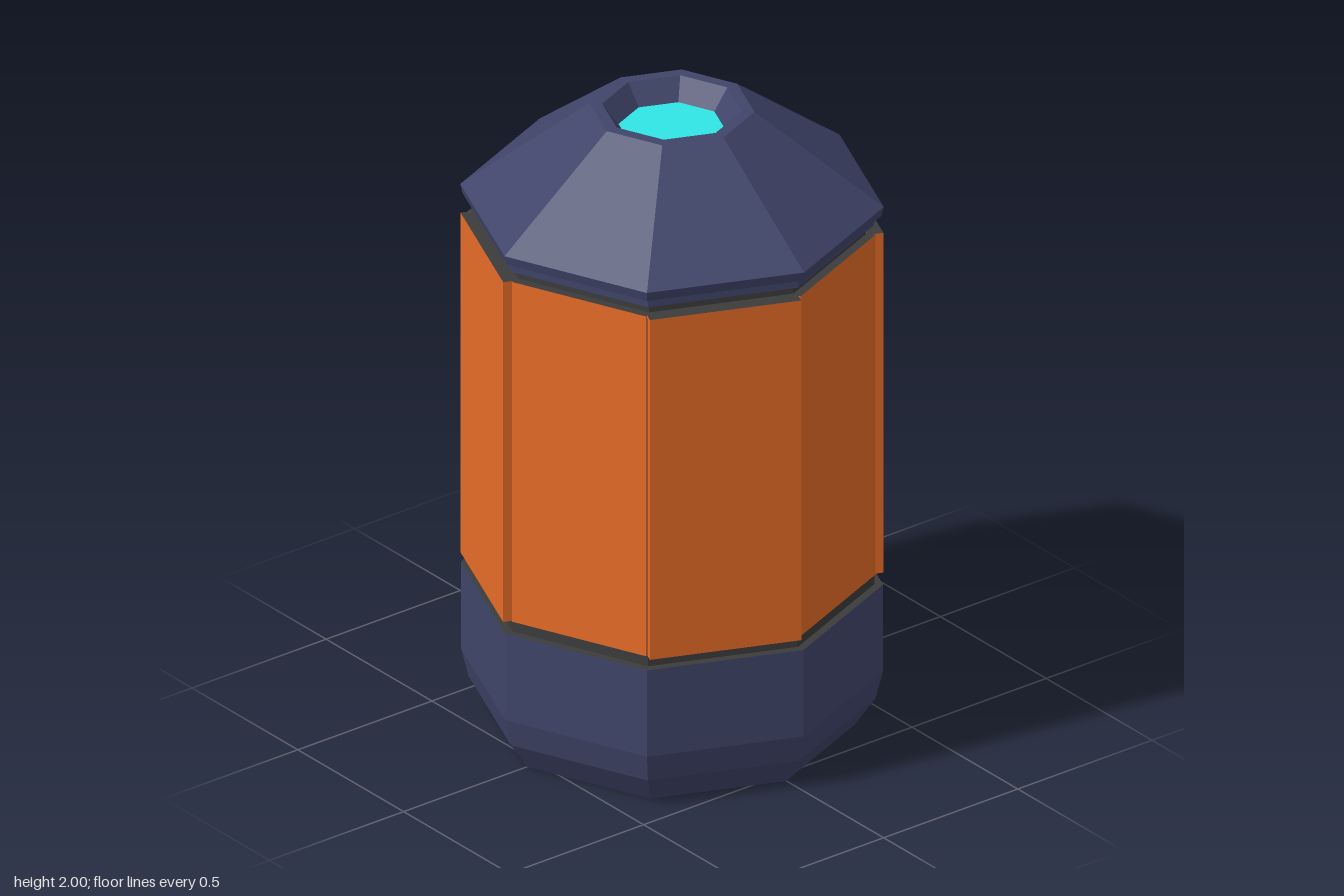
import * as THREE from 'three';

const navy = new THREE.MeshStandardMaterial({ color: 0x40456a });
navy.name = 'navy casing';
const orange = new THREE.MeshStandardMaterial({ color: 0xe66c28 });
orange.name = 'orange panel';
const charcoal = new THREE.MeshStandardMaterial({ color: 0x3c3c3c });
charcoal.name = 'charcoal core';
const grey = new THREE.MeshStandardMaterial({ color: 0x8e8a9a });
grey.name = 'grey underside';
const cyan = new THREE.MeshStandardMaterial({ color: 0x31e6e6 });
cyan.name = 'cyan light';

const SIDES = 8;

// Faceted octagonal solid from a [radius, height] profile, corners on the axes
function octagon(name, profile, material) {
  const points = profile.map(([r, y]) => new THREE.Vector2(r, y));
  const geometry = new THREE.LatheGeometry(points, SIDES).toNonIndexed();
  geometry.computeVertexNormals();
  const mesh = new THREE.Mesh(geometry, material);
  mesh.name = name;
  return mesh;
}

export function createModel() {
  const model = new THREE.Group();
  model.name = 'canister';

  // Base with a rounded lower edge, its underside and its dark upper ledge
  model.add(octagon('base', [[0.54, 0], [0.6, 0.09], [0.622, 0.18], [0.622, 0.465]], navy));
  model.add(octagon('underside', [[0, 0], [0.54, 0]], grey));
  model.add(octagon('baseLedge', [[0.622, 0.465], [0.55, 0.465]], charcoal));

  // Inner core, seen in the grooves and between panels
  model.add(octagon('core', [[0.596, 0.46], [0.596, 1.61], [0.572, 1.61], [0.572, 1.69]], charcoal));

  // Side panels, alternately raised and inset, with dark upper and lower ends
  const panels = new THREE.Group();
  panels.name = 'sidePanels';
  const faces = [orange, orange, charcoal, charcoal, orange, orange];
  const bottom = 0.5, top = 1.62, inner = 0.53;
  for (let i = 0; i < SIDES; i++) {
    const raised = i % 2 === 0;
    const outer = raised ? 0.578 : 0.557;
    const width = raised ? 0.46 : 0.448;
    const geometry = new THREE.BoxGeometry(outer - inner, top - bottom, width);
    geometry.translate((outer + inner) / 2, (top + bottom) / 2, 0);
    const panel = new THREE.Mesh(geometry, faces);
    panel.name = raised ? 'raisedPanel' : 'insetPanel';
    panel.rotation.y = -(i + 0.5) * Math.PI * 2 / SIDES;
    panels.add(panel);
  }
  model.add(panels);

  // Collar under the cap
  model.add(octagon('collarUnderside', [[0.55, 1.648], [0.595, 1.648]], charcoal));
  model.add(octagon('collar', [[0.595, 1.648], [0.595, 1.68]], navy));

  // Sloping cap with a rim and a recessed well
  model.add(octagon('capUnderside', [[0.55, 1.68], [0.617, 1.68]], charcoal));
  model.add(octagon('cap', [
    [0.617, 1.68], [0.624, 1.71], [0.243, 2], [0.206, 2], [0.157, 1.935],
  ], navy));

  // Light at the bottom of the well
  model.add(octagon('light', [[0.16, 1.936], [0, 1.936]], cyan));

  return model;
}
